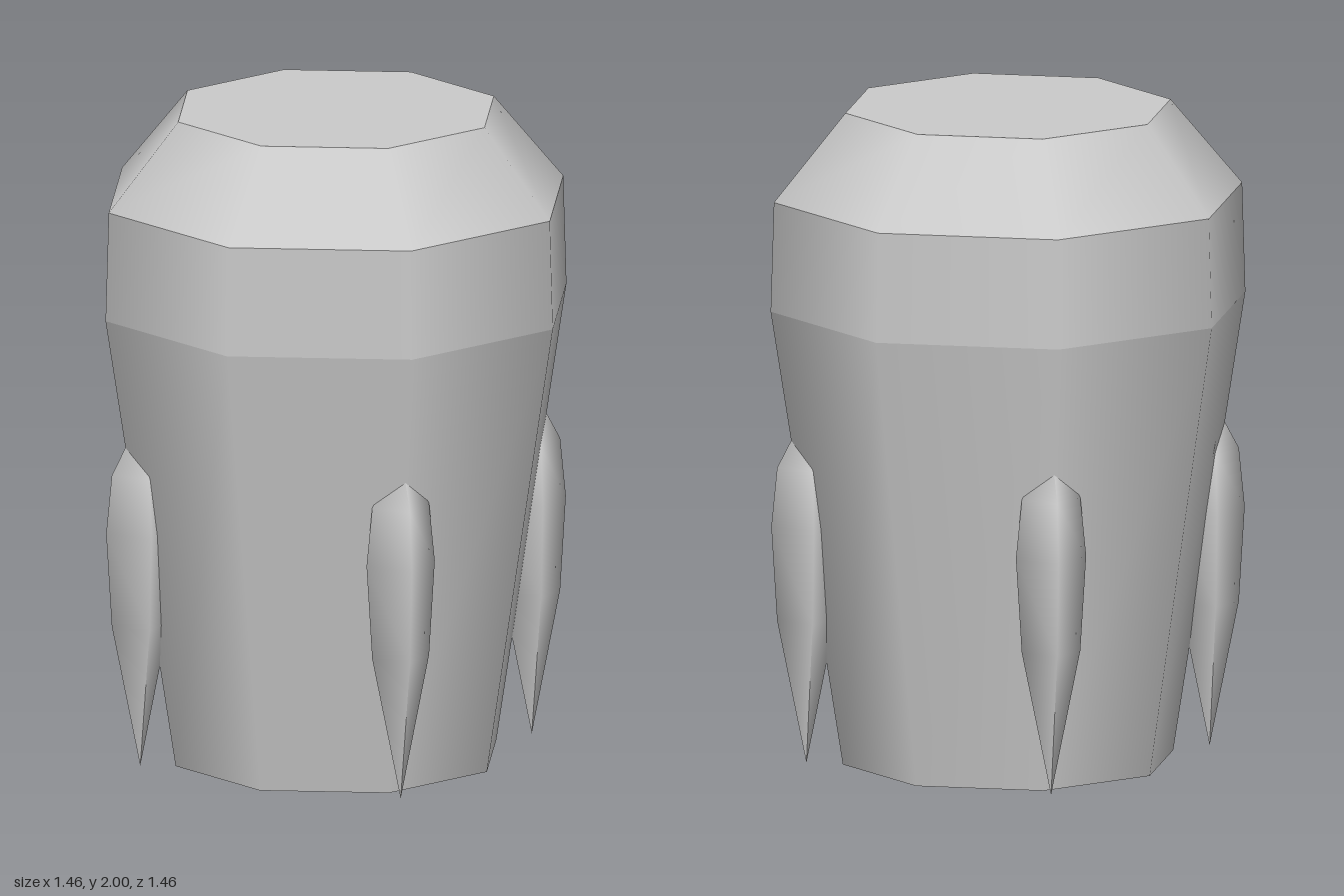
import * as THREE from 'three';

const SIDES = 8;
const material = new THREE.MeshStandardMaterial({ color: 0xcccccc });

// Eight-sided band between two heights, smooth around and creased at its rims
function band(name, y0, r0, y1, r1) {
  const mesh = new THREE.Mesh(new THREE.CylinderGeometry(r1, r0, y1 - y0, SIDES, 1, true), material);
  mesh.position.y = (y0 + y1) / 2;
  mesh.name = name;
  return mesh;
}

// Flat octagonal lid with a corner on each axis
function cap(name, y, radius, up) {
  const mesh = new THREE.Mesh(new THREE.CircleGeometry(radius, SIDES), material);
  mesh.rotation.x = up ? -Math.PI / 2 : Math.PI / 2;
  mesh.position.y = y;
  mesh.name = name;
  return mesh;
}

export function createModel() {
  const model = new THREE.Group();
  model.name = 'taperedPod';

  // Body
  model.add(
    band('lowerBody', 0, 0.508, 1.4, 0.73),
    band('upperBand', 1.4, 0.73, 1.735, 0.72),
    band('shoulder', 1.735, 0.72, 2, 0.5),
    cap('topCap', 2, 0.5, true),
    cap('bottomCap', 0, 0.508, false),
  );

  // Four-sided pointed pods sunk into the body at front, back and both sides
  const profile = [[0, 0.01], [0.09, 0.45], [0.108, 0.74], [0.09, 0.92], [0, 1.09]];
  const podGeometry = new THREE.LatheGeometry(profile.map(([r, y]) => new THREE.Vector2(r, y)), 4);
  ['frontPod', 'leftPod', 'backPod', 'rightPod'].forEach((name, i) => {
    const angle = (i * Math.PI) / 2;
    const pod = new THREE.Mesh(podGeometry, material);
    pod.position.set(Math.sin(angle) * 0.62, 0, Math.cos(angle) * 0.62);
    pod.rotation.y = angle;
    pod.name = name;
    model.add(pod);
  });

  return model;
}
